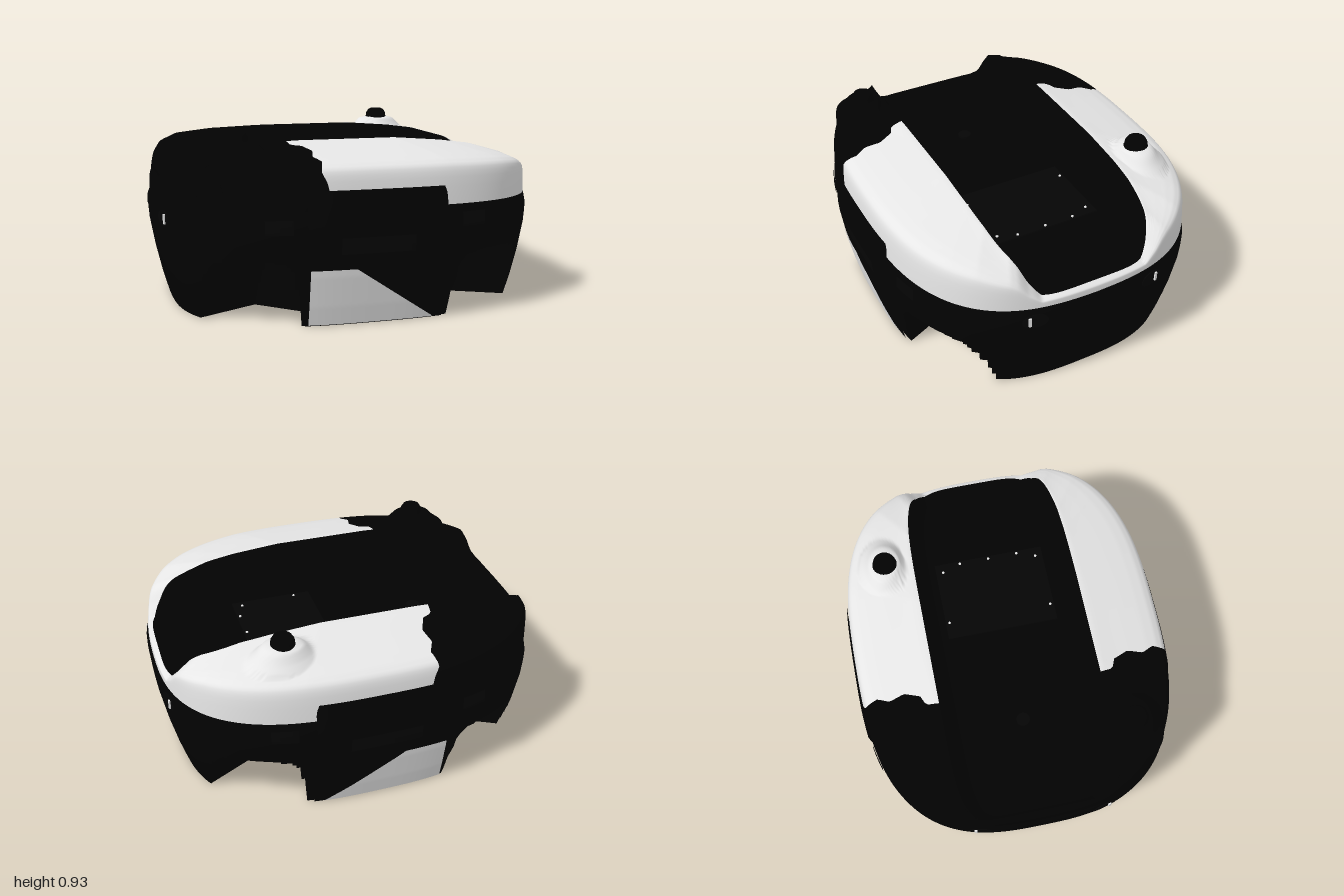
import * as THREE from 'three';
import { toCreasedNormals } from 'three/addons/utils/BufferGeometryUtils.js';

const SEG = 320, ROUND = 2.85;
const make = (name, color) => new THREE.MeshStandardMaterial({ name, color, side: THREE.DoubleSide });

// Piecewise linear lookup through [input, output] pairs
function lookup(points, v) {
  if (v <= points[0][0]) return points[0][1];
  for (let i = 1; i < points.length; i++) {
    const [a, p] = points[i - 1], [b, q] = points[i];
    if (v <= b) return p + (q - p) * (v - a) / (b - a);
  }
  return points[points.length - 1][1];
}

// Hull half-length and half-width by height
const LENGTH = [[0, 0.9], [0.1, 0.93], [0.25, 0.965], [0.4, 0.992], [0.5, 1], [0.57, 0.985], [0.67, 0.975]];
const WIDTH = [[0, 0.752], [0.1, 0.775], [0.25, 0.803], [0.4, 0.822], [0.47, 0.826], [0.57, 0.817], [0.67, 0.807]];
// Roof height along the length, and the rise from the band (0) to the channel rim (1)
const ROOF = [[-0.96, 0.68], [-0.9, 0.79], [-0.8, 0.83], [-0.6, 0.85], [-0.3, 0.86], [0.2, 0.86],
  [0.45, 0.84], [0.6, 0.82], [0.8, 0.765], [0.92, 0.69], [0.97, 0.6]];
const SHOULDER = [[0, 0], [0.01, 0.25], [0.025, 0.47], [0.045, 0.6], [0.08, 0.67], [0.16, 0.735],
  [0.3, 0.795], [0.53, 0.87], [0.75, 0.935], [0.95, 0.995], [1, 1]];
// Boundary between the dark and light roof, x by distance from the middle
const SPLIT = [[0.4, -0.37], [0.48, -0.36], [0.5, -0.31], [0.58, -0.275], [0.66, -0.295], [0.72, -0.265], [0.79, -0.285], [0.82, -0.22]];
// Wheel well opening, as angles by height
const WELL_LOW = [[0, 0.53], [0.12, 0.56], [0.25, 0.63], [0.3, 0.68], [0.325, 0.77]];
const WELL_HIGH = [[0, 1.085], [0.25, 1.075], [0.3, 1.03], [0.325, 0.93]];
// Beacon places, and the height of their mounts by distance
const BEACONS = [[-0.64, 0.53], [0.43, -0.56]];
const MOUNT = [[0.05, 0.88], [0.08, 0.87], [0.11, 0.83], [0.15, 0.79], [0.2, 0]];

// Superellipse radius along a ray
const radius = (phi, a, b, n) =>
  (Math.abs(Math.cos(phi) / a) ** n + Math.abs(Math.sin(phi) / b) ** n) ** (-1 / n);
const at = (phi, r, y) => [r * Math.cos(phi), y, r * Math.sin(phi)];
const hull = (phi, y) => radius(phi, lookup(LENGTH, y), lookup(WIDTH, y), ROUND);
const seam = phi => 0.55 + 0.022 * Math.abs(Math.sin(phi));

function rim(phi, a = 0.96, b = 0.415) {
  const p = at(phi, radius(phi, a, b, Math.cos(phi) > 0 ? 5 : 9), 0);
  const end = p[0] > 0 ? 0.6 : 0.655;
  const channel = lookup([[0.28, end], [0.33, 0.67], [0.38, 0.79], [0.405, 0.86]], Math.abs(p[2]));
  p[1] = Math.min(lookup(ROOF, p[0]), channel);
  return p;
}

// Roof surface, swelling into flat-topped mounts under the beacons
function roof(phi, s) {
  const o = at(phi, hull(phi, seam(phi)), seam(phi)), r = rim(phi);
  const [x, z] = [0, 2].map(i => o[i] + (r[i] - o[i]) * s);
  let y = o[1] + (r[1] - o[1]) * lookup(SHOULDER, s);
  for (const [cx, cz] of BEACONS) y = Math.max(y, lookup(MOUNT, Math.hypot((x - cx) / 1.3, z - cz)));
  return [x, y, z];
}

// Angle at which a roof ring crosses the colour boundary
function splitAngle(s) {
  let lo = Math.PI / 3, hi = Math.PI * 0.9;
  for (let i = 0; i < 30; i++) {
    const m = (lo + hi) / 2, [x, , z] = roof(m, s);
    if (x > lookup(SPLIT, z)) lo = m; else hi = m;
  }
  return lo;
}

// Loft through rings of angle -> point, closed around unless open
function loft(rings, open = false) {
  const pos = [], index = [], cols = open ? SEG + 1 : SEG;
  for (const ring of rings) {
    for (let j = 0; j < cols; j++) pos.push(...ring(j / SEG * Math.PI * 2));
  }
  for (let i = 0; i < rings.length - 1; i++) {
    for (let j = 0; j < SEG; j++) {
      const a = i * cols + j, b = i * cols + (j + 1) % cols;
      index.push(a, a + cols, b, b, a + cols, b + cols);
    }
  }
  const g = new THREE.BufferGeometry();
  g.setAttribute('position', new THREE.Float32BufferAttribute(pos, 3));
  g.setIndex(index);
  g.computeVertexNormals();
  return g;
}

// Thin skin over the long side of the hull, between two x limits
function sidePatch(left, right, y0, y1, offset, side) {
  const g = new THREE.PlaneGeometry(1, 1, 20, 24), p = g.attributes.position;
  for (let i = 0; i < p.count; i++) {
    const v = p.getY(i) + 0.5, y = y0 + (y1 - y0) * v;
    const x = left(v) + (right(v) - left(v)) * (p.getX(i) + 0.5);
    const z = lookup(WIDTH, y) * (1 - Math.abs(x / lookup(LENGTH, y)) ** ROUND) ** (1 / ROUND) + offset;
    p.setXYZ(i, x, y, side * z);
  }
  if (side < 0) g.setIndex(Array.from(g.index.array).reverse());
  g.computeVertexNormals();
  return g;
}

export function createModel() {
  const root = new THREE.Group();
  const black = make('black', 0x020202), dark = make('charcoal', 0x050505), white = make('white', 0xe6e6e6);
  const add = (name, geometry, material, x = 0, y = 0, z = 0) => {
    const mesh = new THREE.Mesh(geometry, material);
    mesh.name = name;
    mesh.position.set(x, y, z);
    root.add(mesh);
    return mesh;
  };

  // Undercarriage: the hull with a diagonal wheel well in each corner
  const cut = y => phi => {
    const q = Math.atan2(Math.abs(Math.sin(phi)), Math.abs(Math.cos(phi)));
    const inWell = q > lookup(WELL_LOW, y) && q < lookup(WELL_HIGH, y);
    return at(phi, inWell ? 0.57 / Math.cos(q - 0.81) : hull(phi, y), y);
  };
  const under = loft([() => [0, 0, 0], ...[0, 0.06, 0.12, 0.19, 0.25, 0.28, 0.3, 0.315, 0.325].map(cut),
    phi => at(phi, hull(phi, 0.33), 0.33)]);
  add('undercarriage', toCreasedNormals(under, 0.7), black);

  // Dark band around the middle
  const band = [0.33, 0.4, 0.45, 0.5, 0.535].map(y => phi => at(phi, hull(phi, y), y));
  add('hullBand', loft([...band, phi => roof(phi, 0)]), black);

  // Roof shell in a light and a dark piece, meeting along the boundary
  const steps = Array.from({ length: 37 }, (_, i) => (i / 36) ** 1.5);
  const light = steps.map(s => {
    const edge = splitAngle(s);
    return phi => roof(edge * (phi / Math.PI - 1), s);
  });
  const shade = steps.map(s => {
    const edge = splitAngle(s);
    return phi => roof(edge + (Math.PI - edge) * phi / Math.PI, s);
  });
  add('lightRoof', loft(light, true), white);
  add('darkRoof', loft(shade, true), black);

  // Channel walls and floor
  const low = phi => { const p = rim(phi, 0.93, 0.32); p[1] = 0.58; return p; };
  const mid = phi => { const a = rim(phi), b = low(phi); return a.map((v, i) => v * 0.4 + b[i] * 0.6); };
  add('channel', loft([rim, mid, low, () => [0, 0.58, 0]]), black);
  add('floorPlate', new THREE.BoxGeometry(0.44, 0.012, 0.6), dark, 0.28, 0.584, 0);
  add('floorSocket', new THREE.CylinderGeometry(0.035, 0.035, 0.012, 24), dark, -0.46, 0.585, 0);
  for (const [x, z] of [[0.15, 0.28], [0.15, -0.28], [0.45, 0.26], [0.45, -0.26], [0.485, 0.16], [0.485, 0], [0.485, -0.16]]) {
    add('floorScrew', new THREE.CylinderGeometry(0.007, 0.007, 0.006, 10), white, x, 0.592, z);
  }

  const lens = new THREE.CylinderGeometry(1, 1, 1, 24).rotateZ(Math.PI / 2);
  for (const side of [1, -1]) {
    const face = side > 0 ? 'front' : 'back';
    // Side doors with a pale wedge and a recessed grip
    const corner = v => 0.015 * Math.max(0, v - 0.94) / 0.06;
    add(face + 'Door', sidePatch(v => -0.36 + corner(v), v => 0.34 - corner(v), 0, 0.665, 0.012, side), black);
    add(face + 'Wedge', sidePatch(() => -0.345, v => 0.29 - 0.41 * v, 0.005, 0.285, 0.018, side), white);
    add(face + 'Grip', sidePatch(() => -0.2, () => 0.17, 0.36, 0.44, 0.016, side), dark);
    for (const end of [1, -1]) {
      // Sensor windows on the long sides and oval ones with a bright slot at the corners
      const x = end * 0.49;
      add(face + 'Sensor', sidePatch(() => x - 0.065, () => x + 0.065, 0.46, 0.53, 0.006, side), dark);
      const oval = add('cornerSensor', lens, dark, end * 0.964, 0.485, side * 0.325);
      oval.scale.set(0.02, 0.04, 0.065);
      const slot = add('cornerSlot', new THREE.BoxGeometry(0.026, 0.05, 0.014), white, end * 0.962, 0.485, side * 0.352);
      oval.rotation.y = slot.rotation.y = -end * side * 0.24;
    }
  }

  // Roof beacons
  const profile = [[0.075, 0], [0.06, 0.02], [0.058, 0.04], [0.046, 0.06], [0.032, 0.067], [0, 0.069]];
  const dome = new THREE.LatheGeometry(profile.map(([r, y]) => new THREE.Vector2(r, y)), 24);
  for (const [x, z] of BEACONS) add('beacon', dome, black, x, 0.861, z);
  return root;
}
